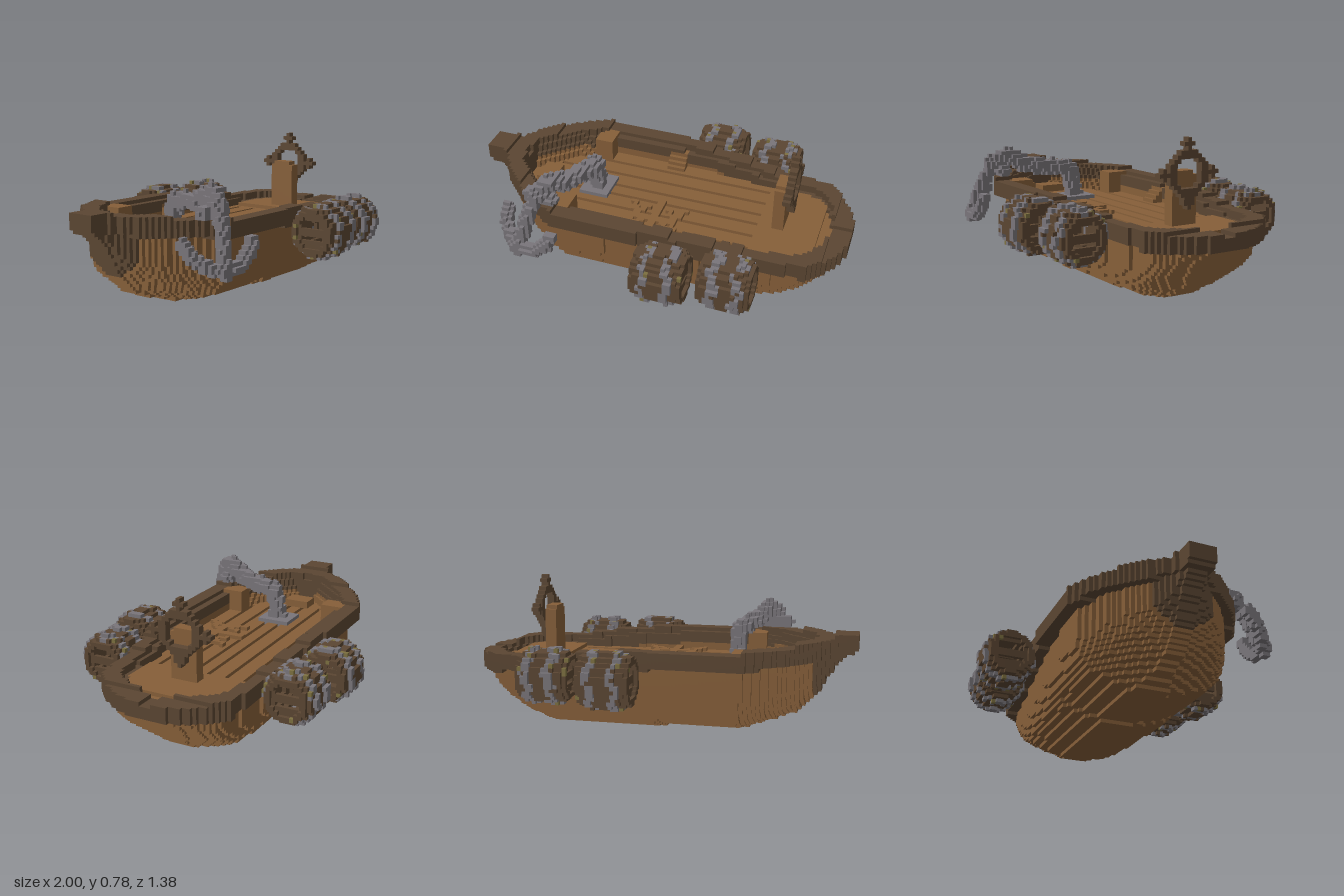
import * as THREE from 'three';

const H = 0.02;                       // cube size
const NX = 104, NY = 42, NZ = 75;     // grid cells

// piecewise-linear curve through [x, value] points
const curve = (...pts) => (x) => {
  if (x <= pts[0][0]) return pts[0][1];
  for (let i = 1; i < pts.length; i++) {
    const [a, u] = pts[i - 1], [b, v] = pts[i];
    if (x <= b) return u + (v - u) * (x - a) / (b - a);
  }
  return pts[pts.length - 1][1];
};

// boat lines along x: keel height, rail top/bottom, outer and inner half widths
const keel = curve([-1, 0.45], [-0.93, 0.4], [-0.87, 0.33], [-0.82, 0.23], [-0.7, 0.11], [-0.58, 0.065],
  [-0.42, 0.02], [-0.02, 0.015], [0, 0], [0.58, 0], [0.7, 0.05], [0.8, 0.13], [0.9, 0.23], [0.96, 0.3], [1, 0.31]);
const railTop = curve([-0.9, 0.52], [-0.88, 0.5], [-0.7, 0.49], [-0.45, 0.47], [0, 0.46], [0.3, 0.44], [0.6, 0.4], [0.9, 0.39], [1, 0.38]);
const railBottom = curve([-0.95, 0.42], [-0.7, 0.4], [-0.4, 0.38], [0, 0.37], [0.6, 0.32], [1, 0.3]);
const outer = curve([-1, 0.065], [-0.9, 0.075], [-0.87, 0.1], [-0.8, 0.2], [-0.71, 0.3], [-0.63, 0.36], [-0.53, 0.42],
  [-0.43, 0.46], [-0.3, 0.455], [0, 0.44], [0.2, 0.42], [0.4, 0.4], [0.65, 0.37], [0.82, 0.35], [0.9, 0.28], [0.96, 0.2], [1, 0.09]);
const inner = curve([-0.79, 0], [-0.78, 0.07], [-0.6, 0.25], [-0.45, 0.34], [0, 0.34], [0.3, 0.31], [0.6, 0.28],
  [0.8, 0.25], [0.88, 0.12], [0.9, 0]);
// share of the full half width at each share of the hull height
const section = curve([0.03, 0.26], [0.085, 0.5], [0.14, 0.66], [0.19, 0.77], [0.25, 0.87], [0.3, 0.91], [0.42, 0.97], [0.55, 1]);

// distance from a point to a segment
function segmentDistance(p, a, b) {
  const d = b.map((v, i) => v - a[i]), q = p.map((v, i) => v - a[i]);
  const t = Math.min(1, Math.max(0, (q[0] * d[0] + q[1] * d[1] + q[2] * d[2]) / (d[0] ** 2 + d[1] ** 2 + d[2] ** 2)));
  return Math.hypot(...q.map((v, i) => v - t * d[i]));
}
const nearPath = (p, path, r) => path.some((b, i) => i > 0 && segmentDistance(p, path[i - 1], b) < r);
const hash = (a, b, c) => Math.abs(Math.sin(a * 12.9 + b * 78.2 + c * 37.7) * 43758.5) % 1;

export function createModel() {
  const colour = (name, color) => Object.assign(new THREE.MeshStandardMaterial({ color }), { name });
  const lightWood = colour('lightWood', 0x865f39), darkWood = colour('darkWood', 0x5b4632);
  const iron = colour('iron', 0x79757a), brass = colour('brass', 0x7d7040);
  const parts = [null, ['hull', lightWood], ['rail', darkWood], ['deckFittings', lightWood], ['helmPillar', lightWood],
    ['steeringWheel', darkWood], ['anchorAndChain', iron], ['barrels', darkWood], ['barrelBands', iron], ['barrelStuds', brass]];
  const HULL = 1, RAIL = 2, FITTING = 3, PILLAR = 4, WHEEL = 5, ANCHOR = 6, BARREL = 7, BAND = 8, STUD = 9;

  const grid = new Uint8Array(NX * NY * NZ);
  const at = (i, j, k) => (i < 0 || j < 0 || k < 0 || i >= NX || j >= NY || k >= NZ) ? 0 : grid[(i * NY + j) * NZ + k];
  // fills cells in a box [x0,x1,y0,y1,z0,z1] with the part the rule returns
  function fill([x0, x1, y0, y1, z0, z1], rule) {
    for (let i = 0; i < NX; i++) for (let j = 0; j < NY; j++) for (let k = 0; k < NZ; k++) {
      const x = (i + 0.5 - NX / 2) * H, y = (j + 0.5) * H, z = (k + 0.5 - NZ / 2) * H;
      if (x < x0 || x > x1 || y < y0 || y > y1 || z < z0 || z > z1) continue;
      const id = typeof rule === 'number' ? rule : rule(x, y, z, i, j, k);
      if (id) grid[(i * NY + j) * NZ + k] = id;
    }
  }

  // hull, overhanging rail with inner ledge, and planked deck
  fill([-1, 1, 0, 0.53, -0.5, 0.5], (x, y, z) => {
    const w = Math.abs(z), bottom = keel(x), low = Math.max(railBottom(x), bottom);
    if (y < bottom || y > railTop(x)) return 0;
    const groove = Math.round(w / H) % 5 === 2 && x > -0.72 && x < 0.53;
    const deck = x > 0.53 && x < 0.84 && w < 0.27 ? 0.36 : groove ? 0.32 : 0.34;
    const wall = inner(x) + (x < -0.45 && x > -0.78 ? (y - 0.42) * 0.5 : 0);
    if (w < wall) {
      if (y > deck) return 0;
      if (y > 0.3) return HULL;
    }
    if (y > low) return w < outer(x) && (w > inner(x) + 0.025 || x < -0.8 || y < railTop(x) - 0.03) ? RAIL : 0;
    const t = (y - bottom) / (low - bottom + 0.001);
    const half = (outer(x) - Math.min(0.07, outer(x) * 0.25)) * section(t) ** (1 + Math.max(0, -x - 0.4) * 2);
    if (w > half && (w > 0.045 || x > 0.95)) return 0;
    return x < -0.78 ? RAIL : HULL;
  });

  // bow step, corner blocks and side box
  fill([-0.72, -0.62, 0.34, 0.38, -0.07, 0.07], FITTING);
  for (const s of [-1, 1]) fill([-0.5, -0.4, 0.34, 0.47, Math.min(s * 0.26, s * 0.37), Math.max(s * 0.26, s * 0.37)],
    (x, y, z) => Math.abs(z) < inner(x) + 0.02 ? FITTING : 0);
  fill([-0.08, 0.02, 0.34, 0.42, -0.36, -0.28], (x, y, z) => y < 0.37 - (z + 0.28) * 0.7 ? FITTING : 0);

  // branching low relief on the deck
  const reliefs = [[[0, 0, 0.04], [0, 0, 0.32]], [[-0.14, 0, 0.08], [-0.1, 0, 0.18], [0, 0, 0.2]],
    [[0.14, 0, 0.08], [0.1, 0, 0.18], [0, 0, 0.2]], [[-0.15, 0, 0.29], [0, 0, 0.18], [0.15, 0, 0.29]],
    [[-0.12, 0, 0.24], [-0.06, 0, 0.1]], [[0.12, 0, 0.24], [0.06, 0, 0.1]]];
  fill([-0.18, 0.18, 0.34, 0.36, 0.03, 0.33], (x, y, z) => reliefs.some((r) => nearPath([x, 0, z], r, 0.014)) ? FITTING : 0);

  // helm pillar with rounded top
  fill([0.6, 0.66, 0.34, 0.62, -0.08, 0.08], (x, y, z) => Math.abs(z) < Math.min(0.08, 0.05 + (0.61 - y)) ? PILLAR : 0);

  // steering wheel: ring, four knobbed handles and a mount
  fill([0.66, 0.7, 0.44, 0.78, -0.17, 0.17], (x, y, z) => {
    const a = Math.abs(z), b = Math.abs(y - 0.61), along = Math.max(a, b), across = Math.min(a, b);
    const r = Math.hypot(a, b);
    const ring = r > 0.082 && r < 0.108;
    const handle = along > 0.07 && across < (Math.abs(along - 0.14) < 0.011 ? 0.025 : 0.011);
    const mount = y < 0.55 && a < (y > 0.48 ? 0.035 : 0.011);
    return ring || handle || mount ? WHEEL : 0;
  });

  // chain plate and post, chain over the rail, and hanging anchor
  fill([-0.46, -0.3, 0.32, 0.36, -0.08, 0.08], ANCHOR);
  const chain = [[-0.38, 0.34, 0], [-0.38, 0.51, 0.03], [-0.4, 0.525, 0.12], [-0.45, 0.54, 0.26], [-0.5, 0.595, 0.37], [-0.54, 0.55, 0.42]];
  const shank = [[-0.54, 0.55, 0.42], [-0.58, 0.42, 0.48], [-0.62, 0.26, 0.52]];
  const arms = [[-0.74, 0.39, 0.38], [-0.73, 0.33, 0.42], [-0.68, 0.28, 0.48], [-0.62, 0.255, 0.53], [-0.52, 0.275, 0.535], [-0.45, 0.33, 0.535], [-0.43, 0.38, 0.53]];
  const stock = [[-0.6, 0.51, 0.38], [-0.48, 0.51, 0.39]];
  fill([-0.8, -0.28, 0.2, 0.68, -0.1, 0.6], (x, y, z, i, j, k) => {
    const p = [x, y, z], link = (i + j + k) % 5 < 3 ? 0.046 : 0.036;
    return nearPath(p, chain, link) || nearPath(p, shank, 0.032) || nearPath(p, arms, 0.03) || nearPath(p, stock, 0.036) ? ANCHOR : 0;
  });

  // hollow barrels on both sides, axis fore and aft, with slotted ends
  for (const side of [-1, 1]) for (const [x0, x1, cz, R, bands] of [
    [0.04, 0.3, 0.555, 0.133, [0.11, 0.23]], [0.36, 0.62, 0.51, 0.129, [0.44, 0.56]]]) {
    const mid = (x0 + x1) / 2;
    const c = side * cz;
    fill([x0, x1, 0.18, 0.5, c - 0.18, c + 0.18], (x, y, z, i, j, k) => {
      const u = Math.abs(x - mid), r = Math.hypot(y - 0.34, z - c), radius = R - 0.022 * (u / 0.13) ** 2;
      const sway = 0.012 * Math.sin(Math.atan2(y - 0.34, z - c) * 5);
      const band = bands.some((b) => Math.abs(x - b - sway) < 0.021);
      if (r > radius + (band ? 0.01 : 0)) return 0;
      const slot = Math.abs(z - c) < 0.065 && (Math.abs(y - 0.31) < 0.02 || Math.abs(y - 0.38) < 0.022);
      const end = u > 0.09 && u < 0.112 && !slot;
      if (r < radius - 0.03 && !end) return 0;
      if (band && r > radius - 0.014) return hash(i, j, k) < 0.06 ? STUD : hash(j, k, i) < 0.15 ? BARREL : BAND;
      return u > 0.11 && hash(k, i, j) < 0.06 ? STUD : BARREL;
    });
  }

  // build one mesh per part from the exposed cube faces
  const group = new THREE.Group();
  const data = parts.map(() => ({ pos: [], nor: [], idx: [] }));
  for (let i = 0; i < NX; i++) for (let j = 0; j < NY; j++) for (let k = 0; k < NZ; k++) {
    const id = at(i, j, k);
    if (!id) continue;
    const { pos, nor, idx } = data[id];
    const c = [(i + 0.5 - NX / 2) * H, (j + 0.5) * H, (k + 0.5 - NZ / 2) * H];
    for (let a = 0; a < 3; a++) for (const s of [-1, 1]) {
      const n = [0, 0, 0];
      n[a] = s;
      if (at(i + n[0], j + n[1], k + n[2])) continue;
      const b = (a + 1) % 3, d = (a + 2) % 3, base = pos.length / 3;
      for (const [u, v] of [[-1, -1], [1, -1], [1, 1], [-1, 1]]) {
        const p = [...c];
        p[a] += s * H / 2; p[b] += u * H / 2; p[d] += v * H / 2;
        pos.push(...p);
        nor.push(...n);
      }
      idx.push(...(s > 0 ? [0, 1, 2, 0, 2, 3] : [0, 2, 1, 0, 3, 2]).map((q) => base + q));
    }
  }
  parts.forEach((part, id) => {
    if (!part) return;
    const geometry = new THREE.BufferGeometry();
    geometry.setAttribute('position', new THREE.Float32BufferAttribute(data[id].pos, 3));
    geometry.setAttribute('normal', new THREE.Float32BufferAttribute(data[id].nor, 3));
    geometry.setIndex(data[id].idx);
    const mesh = new THREE.Mesh(geometry, part[1]);
    mesh.name = part[0];
    group.add(mesh);
  });
  group.name = 'boat';
  return group;
}
